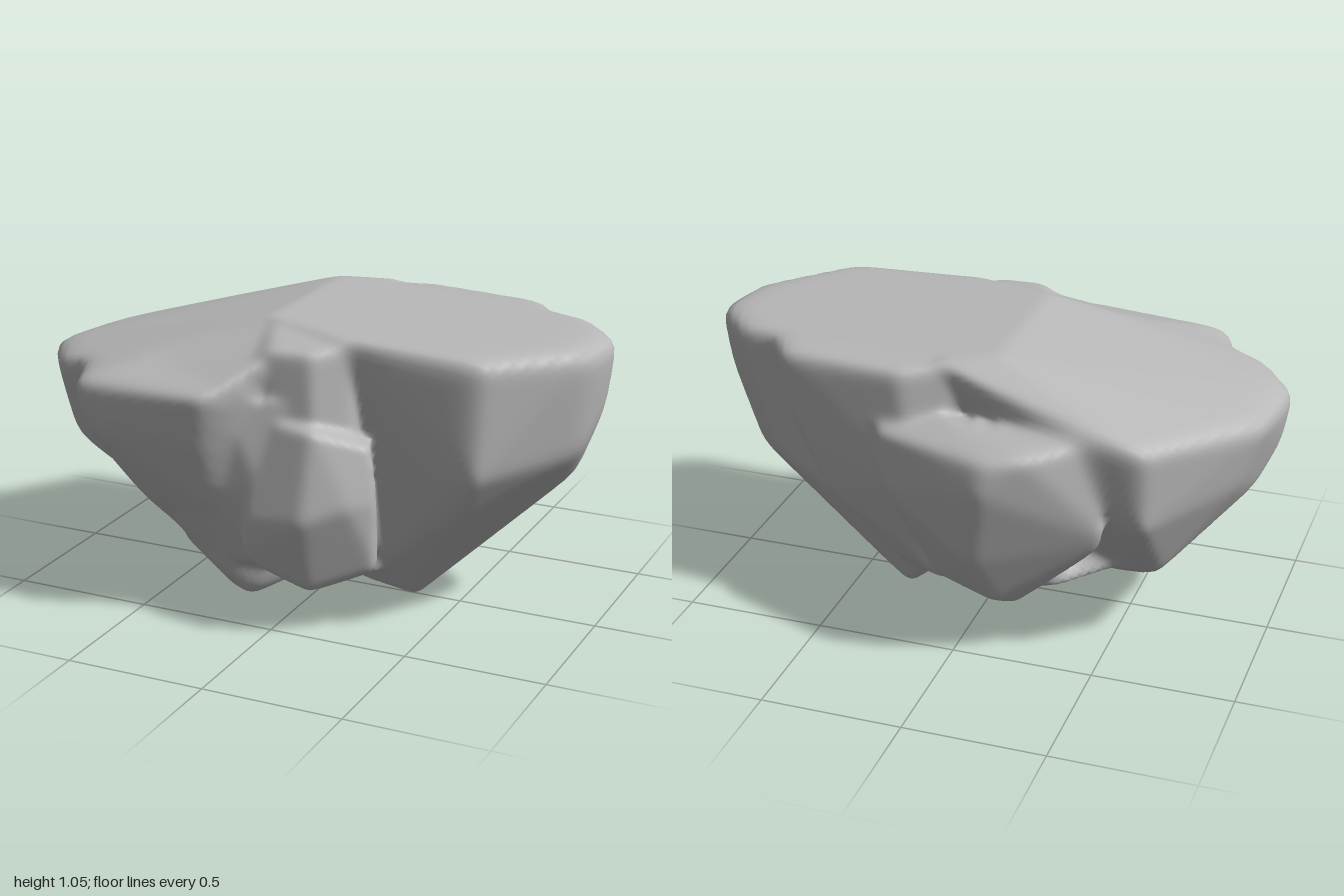
import * as THREE from 'three';
import { mergeVertices } from 'three/addons/utils/BufferGeometryUtils.js';
import { ConvexGeometry } from 'three/addons/geometries/ConvexGeometry.js';

// Each lobe is a convex lump given by its corner points [x, y, z]
const lobes = {
  mainBlock: [
    [1.01, 1.02, -0.12], [0.98, 1.02, 0.1], [0.7, 1.02, 0.4], [0.2, 1.04, 0.38], [0.86, 1.02, -0.29],
    [-0.1, 1.055, 0.28], [-0.1, 1.055, -0.3], [0.2, 1.03, -0.37],
    [0.99, 0.8, -0.1], [0.94, 0.64, 0.05], [0.87, 0.5, -0.12], [0.68, 0.6, 0.39], [0.7, 0.37, 0],
    [0.62, 0.45, 0.3], [0.36, 0.25, 0.21], [0.33, -0.01, 0], [0.28, 0.02, -0.16], [0.15, 0.07, 0.1],
    [0.45, 0.4, -0.3], [0.72, 0.55, -0.29],
  ],
  backShoulder: [
    [0.64, 1.02, -0.43], [0.2, 1.02, -0.47], [0.73, 1.02, -0.3], [0, 1.03, -0.37], [0.2, 1.03, 0],
    [0.62, 0.75, -0.41], [0.5, 0.5, -0.4], [0.3, 0.22, -0.3], [0.1, 0.25, -0.38], [0.5, 0.5, 0],
    [0.15, 0.6, -0.47],
  ],
  frontWall: [
    [0, 1, 0.48], [0.14, 1, 0.47], [-0.1, 0.95, 0.47], [0.24, 1.02, 0.37], [-0.1, 1.05, 0.25], [0.2, 1.04, 0],
    [0, 0.65, 0.5], [0.16, 0.65, 0.49], [0.26, 0.6, 0.38], [-0.2, 0.6, 0.45], [-0.2, 0.6, 0],
  ],
  frontSlope: [
    [-0.7, 0.865, 0.5], [-0.15, 0.865, 0.65], [-0.05, 0.89, 0.52], [0.02, 0.98, 0.46], [-0.1, 1.045, 0.26],
    [-0.85, 0.84, 0.42], [-0.6, 0.93, 0.1], [-0.2, 0.6, 0.3],
  ],
  leftBlock: [
    [-1.01, 0.84, 0.22], [-0.97, 0.83, -0.08], [-0.65, 0.86, -0.5], [-0.45, 0.88, -0.49], [-0.86, 0.84, 0.43],
    [-0.1, 1.055, -0.3], [-0.1, 1.055, 0.28], [0.1, 1.04, -0.4], [-0.74, 0.86, 0.42],
    [-0.98, 0.65, 0.2], [-0.91, 0.5, 0.1], [-0.89, 0.6, -0.12], [-0.64, 0.26, -0.22], [-0.58, 0.26, -0.2],
    [-0.64, 0.55, -0.46], [-0.85, 0.52, 0.32], [-0.25, 0.12, 0.05], [-0.45, 0.28, 0.3], [0, 0.15, 0],
  ],
  frontLeftLump: [
    [-0.68, 0.85, 0.63], [-0.15, 0.865, 0.67], [-0.75, 0.85, 0.42], [-0.05, 0.89, 0.53], [-0.3, 0.98, 0.3],
    [-0.63, 0.68, 0.61], [-0.2, 0.66, 0.62], [-0.74, 0.6, 0.44], [-0.5, 0.4, 0.47], [-0.2, 0.43, 0.53],
    [-0.4, 0.24, 0.36], [0, 0.5, 0.2],
  ],
  frontMiddleLump: [
    [-0.03, 0.76, 0.5], [0.17, 0.77, 0.53], [0.35, 0.71, 0.41], [-0.07, 0.42, 0.57], [0.16, 0.45, 0.6],
    [0.36, 0.5, 0.43], [0.3, 0.5, 0.52], [0.35, 0.24, 0.38], [0.14, 0.17, 0.5], [-0.1, 0.27, 0.54],
    [0.27, 0.18, 0.2], [0.1, 0.11, 0.35], [0, 0.5, 0],
  ],
  frontBridge: [
    [-0.16, 0.84, 0.55], [0.08, 0.84, 0.48], [0, 0.5, 0.54], [-0.3, 0.5, 0.54], [0.05, 0.24, 0.47],
    [-0.2, 0.2, 0.43], [-0.4, 0.25, 0.38], [-0.6, 0.42, 0.42], [-0.1, 0.13, 0.3], [-0.2, 0.5, 0],
  ],
  frontFoot: [
    [-0.24, 0.055, 0.32], [-0.15, 0.04, 0.35], [-0.13, 0.05, 0.1], [-0.36, 0.16, 0.15], [-0.2, 0.15, 0.43],
    [-0.45, 0.24, 0.34], [-0.1, 0.11, 0.37], [-0.3, 0.4, 0.44], [0.05, 0.4, 0.2], [0, 0.1, 0.15],
    [-0.1, 0.11, 0],
  ],
  backLump: [
    [-0.16, 0.83, -0.66], [-0.28, 0.85, -0.63], [0.29, 0.81, -0.49], [-0.46, 0.87, -0.48], [0.1, 0.87, -0.4],
    [-0.15, 0.72, -0.68], [0.27, 0.6, -0.5], [-0.1, 0.42, -0.61], [-0.15, 0.23, -0.51], [-0.2, 0.18, -0.42],
    [0.1, 0.26, -0.43], [-0.55, 0.5, -0.45], [-0.2, 0.2, -0.2], [0, 0.5, 0],
  ],
  underside: [
    [0.3, 0.08, -0.1], [0.3, 0.2, -0.26], [0.08, 0.23, -0.41], [-0.35, 0.25, -0.38], [-0.6, 0.3, -0.18],
    [-0.2, 0.11, 0.1], [0.25, 0.14, 0.2], [0, 0.11, 0.2], [0.45, 0.5, -0.35], [0, 0.6, 0],
  ],
};

const centre = new THREE.Vector3(0.02, 0.56, 0.02);

// Triangles of all the lumps
function lobeTriangles() {
  const list = [];
  for (const points of Object.values(lobes)) {
    const p = new ConvexGeometry(points.map((q) => new THREE.Vector3(...q))).attributes.position;
    for (let i = 0; i < p.count; i += 3) {
      list.push([0, 1, 2].map((k) => new THREE.Vector3().fromBufferAttribute(p, i + k)));
    }
  }
  return list;
}

// Ease each vertex towards the mean of its neighbours to weather the edges
function weather(geometry, amount) {
  const p = geometry.attributes.position, index = geometry.index.array;
  const sum = new Float32Array(p.count * 3), count = new Float32Array(p.count);
  for (let i = 0; i < index.length; i += 3) {
    for (let k = 0; k < 3; k++) {
      const a = index[i + k], b = index[i + (k + 1) % 3];
      sum[a * 3] += p.getX(b);
      sum[a * 3 + 1] += p.getY(b);
      sum[a * 3 + 2] += p.getZ(b);
      count[a]++;
    }
  }
  for (let i = 0; i < p.count; i++) {
    const mean = new THREE.Vector3().fromArray(sum, i * 3).divideScalar(count[i]);
    const v = new THREE.Vector3().fromBufferAttribute(p, i).lerp(mean, amount);
    p.setXYZ(i, v.x, v.y, v.z);
  }
}

// One skin wrapped over the lumps: a sphere pushed out to the farthest surface
function rockGeometry() {
  const sphere = new THREE.IcosahedronGeometry(1, 40);
  sphere.deleteAttribute('normal');
  sphere.deleteAttribute('uv');
  const geometry = mergeVertices(sphere, 1e-5);
  const triangles = lobeTriangles();
  const p = geometry.attributes.position;
  const ray = new THREE.Ray(centre.clone()), hit = new THREE.Vector3();
  for (let i = 0; i < p.count; i++) {
    ray.direction.fromBufferAttribute(p, i).normalize();
    let reach = 0;
    for (const [a, b, c] of triangles) {
      if (ray.intersectTriangle(a, b, c, false, hit)) reach = Math.max(reach, hit.distanceTo(centre));
    }
    ray.at(reach, hit);
    p.setXYZ(i, hit.x, hit.y, hit.z);
  }
  for (let pass = 0; pass < 4; pass++) weather(geometry, 0.5);

  // Stand it on the ground
  geometry.computeBoundingBox();
  geometry.translate(0, -geometry.boundingBox.min.y, 0);
  geometry.computeVertexNormals();
  return geometry;
}

export function createModel() {
  const group = new THREE.Group();
  group.name = 'rock';
  const stone = new THREE.MeshStandardMaterial({ color: 0xb8b8b8 });
  stone.name = 'grey stone';
  const boulder = new THREE.Mesh(rockGeometry(), stone);
  boulder.name = 'boulder';
  group.add(boulder);
  return group;
}
